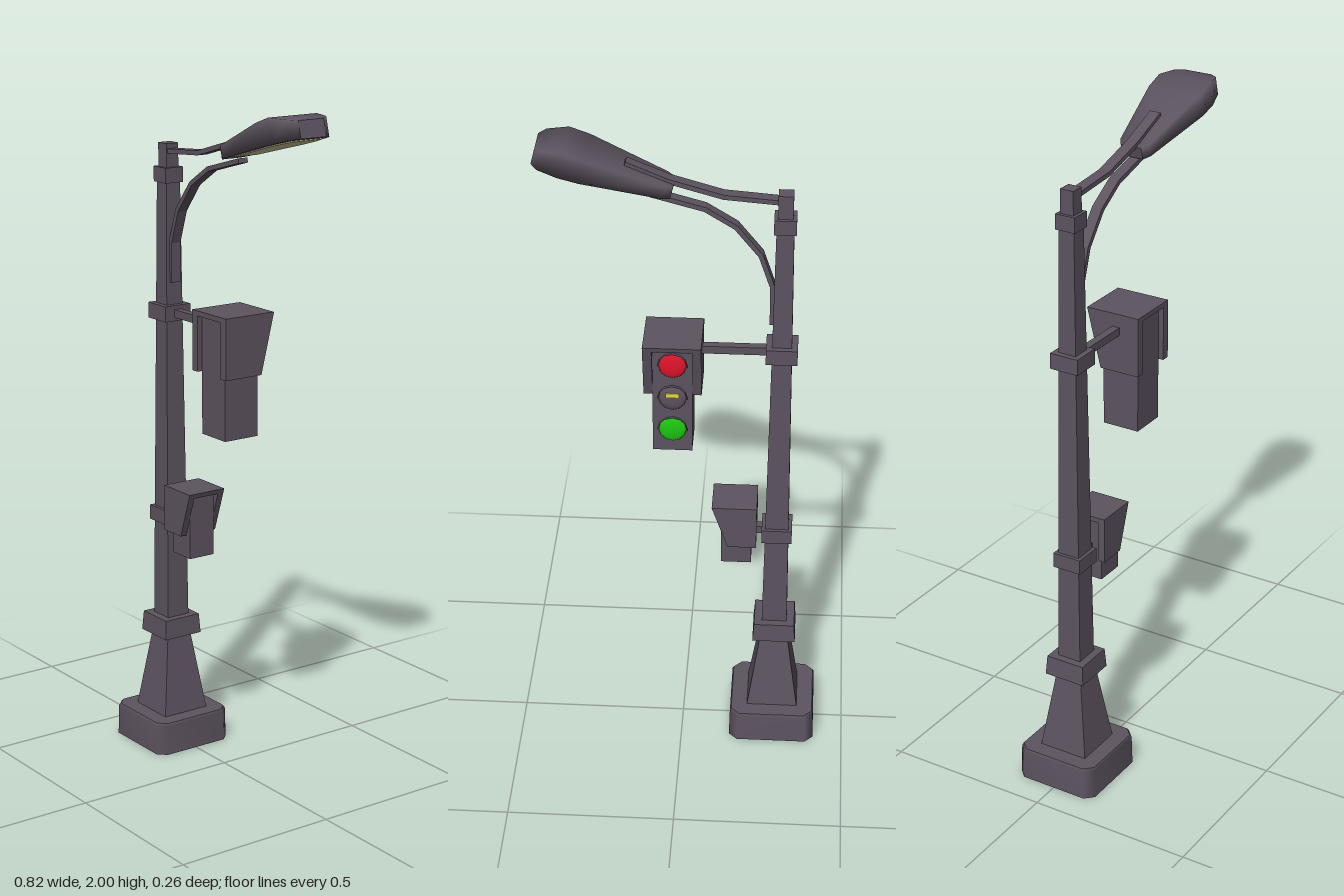
import * as THREE from 'three';

const mat = (name, color) => {
  const m = new THREE.MeshStandardMaterial({ color });
  m.name = name;
  return m;
};

// Closed solid from matching cross-section rings, with smooth sides and flat caps
function loft(rings) {
  const n = rings[0].length, last = rings.length - 1;
  const pos = rings.flat(2), index = [];
  for (let i = 0; i < last; i++) {
    for (let j = 0; j < n; j++) {
      const a = i * n + j, b = i * n + (j + 1) % n;
      index.push(a, b, a + n, b, b + n, a + n);
    }
  }
  const base = rings.length * n;
  pos.push(...rings[0].flat(), ...rings[last].flat());
  for (let j = 1; j < n - 1; j++) {
    index.push(base, base + j + 1, base + j, base + n, base + n + j, base + n + j + 1);
  }
  const g = new THREE.BufferGeometry();
  g.setAttribute('position', new THREE.Float32BufferAttribute(pos, 3));
  g.setIndex(index);
  g.computeVertexNormals();
  return g;
}

// Outline in x and y, extruded evenly to both sides of z
function plate(points, depth) {
  const shape = new THREE.Shape(points.map(([x, y]) => new THREE.Vector2(x, y)));
  const g = new THREE.ExtrudeGeometry(shape, { depth, bevelEnabled: false });
  return g.translate(0, 0, -depth / 2);
}

// Flat bar of constant thickness following a path in x and y
function bar(path, thick, depth) {
  const upper = [], lower = [];
  path.forEach(([x, y], i) => {
    const p = path[Math.max(i - 1, 0)], q = path[Math.min(i + 1, path.length - 1)];
    const dx = q[0] - p[0], dy = q[1] - p[1], k = thick / 2 / Math.hypot(dx, dy);
    upper.unshift([x - dy * k, y + dx * k]);
    lower.push([x + dy * k, y - dx * k]);
  });
  return plate([...lower, ...upper], depth);
}

export function createModel() {
  const root = new THREE.Group();
  root.name = 'streetLightWithSignals';
  const metal = mat('darkMetal', 0x5c535f);
  const glass = mat('lampGlass', 0xcfcc9a);
  const red = mat('redLight', 0xe0142a);
  const yellow = mat('yellowLight', 0xe8dc40);
  const green = mat('greenLight', 0x1cc810);

  const add = (name, geometry, material = metal, parent = root) => {
    const m = new THREE.Mesh(geometry, material);
    m.name = name;
    parent.add(m);
    return m;
  };
  const box = (name, x0, x1, y0, y1, z, parent = root) =>
    add(name, new THREE.BoxGeometry(x1 - x0, y1 - y0, z * 2)
      .translate((x0 + x1) / 2, (y0 + y1) / 2, 0), metal, parent);

  // Base block with cut corners
  const poleX = -0.28;
  const baseRing = (y, b) => {
    const c = b - 0.025;
    return [[b, c], [b, -c], [c, -b], [-c, -b], [-b, -c], [-b, c], [-c, b], [c, b]]
      .map(([x, z]) => [x + poleX, y, z]);
  };
  add('base', loft([baseRing(0, 0.131), baseRing(0.092, 0.129), baseRing(0.1, 0.125)]));

  // Square tapered pole and its collars: name, y0, y1, half width below and above
  const squares = [
    ['foot', 0.1, 0.35, 0.077, 0.041],
    ['footCollar', 0.345, 0.405, 0.065, 0.061],
    ['pole', 0.4, 1.79, 0.038, 0.024],
    ['lowerCollar', 0.705, 0.75, 0.045, 0.045],
    ['middleCollar', 1.335, 1.382, 0.045, 0.045],
    ['upperCollar', 1.745, 1.79, 0.031, 0.031],
    ['poleTop', 1.785, 1.86, 0.021, 0.021],
  ];
  for (const [name, y0, y1, w0, w1] of squares) {
    const g = new THREE.CylinderGeometry(w1 * Math.SQRT2, w0 * Math.SQRT2, y1 - y0, 4)
      .rotateY(Math.PI / 4).translate(poleX, (y0 + y1) / 2, 0).toNonIndexed();
    g.computeVertexNormals();
    add(name, g);
  }

  // Lamp arm and curved brace
  add('lampArm', bar([[-0.27, 1.837], [-0.11, 1.85], [0.04, 1.893], [0.158, 1.942]], 0.014, 0.034));
  add('lampBrace', bar([[-0.25, 1.45], [-0.249, 1.57], [-0.215, 1.67], [-0.145, 1.757],
    [-0.06, 1.81], [0.09, 1.851]], 0.014, 0.032));

  // Tilted lamp head: distance along, half width, height
  const head = new THREE.Group();
  head.name = 'lampHead';
  head.position.set(0.035, 1.85, 0);
  head.rotation.z = 0.26;
  root.add(head);
  const sections = [[0, 0.033, 0.036], [0.02, 0.046, 0.038], [0.25, 0.083, 0.068],
    [0.31, 0.083, 0.073], [0.368, 0.068, 0.057], [0.387, 0.043, 0.05]];
  add('lampHousing', loft(sections.map(([u, w, h]) =>
    [[u, 0, -w], [u, h, -w], [u, h, w], [u, 0, w]])), metal, head);
  const rim = [[0.07, 0.038], [0.25, 0.068], [0.31, 0.068], [0.358, 0.052]];
  const lens = plate([...rim, ...rim.map(([u, w]) => [u, -w]).reverse()], 0.006);
  add('lampLens', lens.rotateX(Math.PI / 2), glass, head);

  // Signal box under a slanted hood, facing its own +x
  function signal(name, body, hood) {
    const g = new THREE.Group();
    g.name = name;
    root.add(g);
    box('signalBody', ...body, g);
    const { back, top, bottom, y0, y1, half } = hood;
    const wall = half - body[4], t = 0.015;
    const inset = (top - bottom) * t / (y1 - y0);
    add('hoodTop', plate([[back, y1 - t], [top - inset, y1 - t], [top, y1], [back, y1]], half * 2), metal, g);
    for (const s of [-1, 1]) {
      add('hoodSide', plate([[back, y0], [bottom, y0], [top - inset, y1 - t], [back, y1 - t]], wall),
        metal, g).position.z = s * (half - wall / 2);
    }
    return g;
  }

  // Traffic signal, turned to face the back
  const traffic = signal('trafficSignal', [-0.058, 0.058, 1.042, 1.395, 0.057],
    { back: -0.074, top: 0.096, bottom: 0.052, y0: 1.23, y1: 1.41, half: 0.083 });
  traffic.position.x = 0.028;
  traffic.rotation.y = Math.PI / 2;

  // Domed lights, each in a thin dark rim
  const lights = [['redLight', 1.33, red], ['unlitLight', 1.222, metal], ['greenLight', 1.115, green]];
  for (const [name, y, material] of lights) {
    add(name, new THREE.SphereGeometry(1, 12, 4, 0, Math.PI * 2, 0, Math.PI / 2)
      .rotateZ(-Math.PI / 2).scale(0.009, 0.04, 0.04).translate(0.058, y, 0), material, traffic);
    add('lightRim', new THREE.CylinderGeometry(0.043, 0.043, 0.009, 12, 1, true)
      .rotateZ(-Math.PI / 2).translate(0.0625, y, 0), metal, traffic);
  }
  add('yellowLight', new THREE.BoxGeometry(0.008, 0.012, 0.038)
    .translate(0.065, 1.236, 0), yellow, traffic);
  box('trafficBracket', -0.25, -0.03, 1.346, 1.37, 0.012);

  // Crossing signal, facing +x
  signal('crossingSignal', [-0.205, -0.115, 0.63, 0.83, 0.043],
    { back: -0.22, top: -0.087, bottom: -0.135, y0: 0.7, y1: 0.84, half: 0.063 });
  box('crossingBracket', -0.25, -0.2, 0.718, 0.742, 0.012);

  return root;
}
